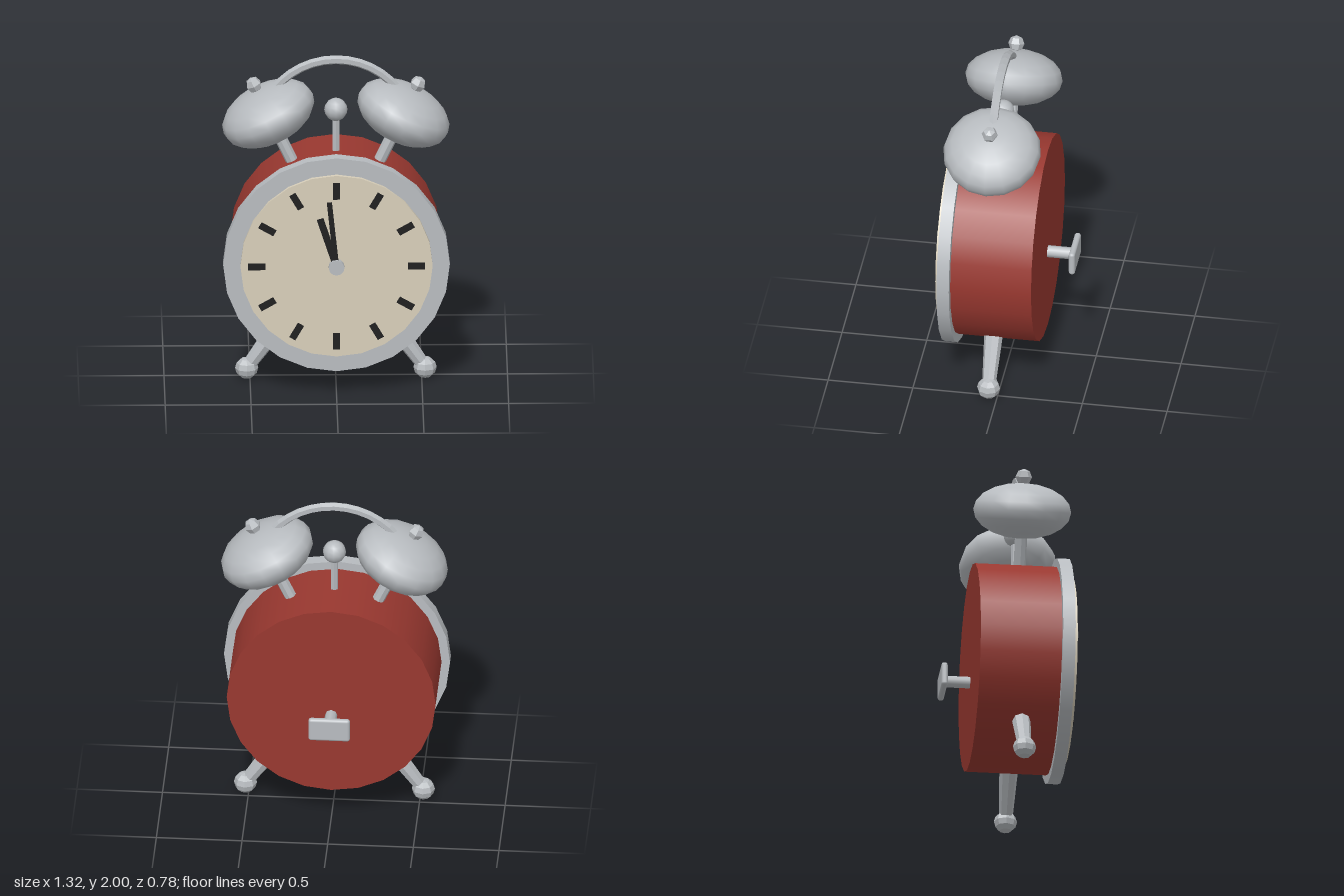
import * as THREE from 'three';
import { RoundedBoxGeometry } from 'three/addons/geometries/RoundedBoxGeometry.js';

const CENTRE_Y = 0.805; // centre of the dial
const MID_Z = 0.05;     // plane of the legs, bells and handle

function material(name, color, flatShading = false) {
  const m = new THREE.MeshStandardMaterial({ color, flatShading });
  m.name = name;
  return m;
}

export function createModel() {
  const red = material('red enamel', 0x993830);
  const metal = material('metal', 0xb8bcc0);
  const cream = material('cream', 0xd8cfba);
  const black = material('black', 0x1e1e1e);

  const clock = new THREE.Group();
  clock.name = 'alarmClock';

  function add(name, geometry, mat, x, y, z, parent = clock) {
    const mesh = new THREE.Mesh(geometry, mat);
    mesh.name = name;
    mesh.position.set(x, y, z);
    parent.add(mesh);
    return mesh;
  }

  // Faceted copy of a geometry, for the low-poly fittings
  function faceted(geometry) {
    const g = geometry.toNonIndexed();
    g.computeVertexNormals();
    return g;
  }

  // Cylinder lying along z between two depths
  function disc(name, radius, z0, z1, sides, mat, y = CENTRE_Y) {
    const g = new THREE.CylinderGeometry(radius, radius, z1 - z0, sides);
    g.rotateX(Math.PI / 2);
    return add(name, g, mat, 0, y, (z0 + z1) / 2);
  }

  // Case and face
  disc('case', 0.61, -0.215, 0.27, 24, red);
  disc('rim', 0.66, 0.262, 0.335, 24, metal);
  disc('dial', 0.56, 0.33, 0.358, 24, cream);
  disc('hub', 0.046, 0.35, 0.392, 12, metal);

  // Hour marks
  for (let i = 0; i < 12; i++) {
    const a = (i / 12) * Math.PI * 2;
    const mark = add('hourMark', new THREE.BoxGeometry(0.04, 0.1, 0.009), black,
      Math.sin(a) * 0.465, CENTRE_Y + Math.cos(a) * 0.465, 0.3615);
    mark.rotation.z = -a;
  }

  // Hands, pivoting at the hub
  function hand(name, width, length, angle, z) {
    const g = new THREE.BoxGeometry(width, length, 0.008);
    g.translate(0, length / 2, 0);
    add(name, g, black, 0, CENTRE_Y, z).rotation.z = angle;
  }
  hand('hourHand', 0.04, 0.31, 0.315, 0.366);
  hand('minuteHand', 0.03, 0.402, 0.105, 0.374);

  // Bells and legs radiate from the dial centre, mirrored left and right
  for (const side of [1, -1]) {
    const bellArm = new THREE.Group();
    bellArm.name = side > 0 ? 'leftBellArm' : 'rightBellArm';
    bellArm.position.set(0, CENTRE_Y, MID_Z);
    bellArm.rotation.z = -side * 0.44;
    clock.add(bellArm);

    add('bellStem', faceted(new THREE.CylinderGeometry(0.036, 0.036, 0.36, 8)), metal, 0, 0.73, 0, bellArm);
    add('bell', new THREE.SphereGeometry(0.287, 16, 10).scale(1, 0.57, 1), metal, 0, 0.924, 0, bellArm);
    const knob = new THREE.SphereGeometry(0.048, 6, 4).rotateY(Math.PI / 6);
    add('bellKnob', faceted(knob), metal, 0, 1.122, 0, bellArm);
    add('knobPost', faceted(new THREE.CylinderGeometry(0.022, 0.022, 0.08, 6)), metal, 0, 1.08, 0, bellArm);

    const legArm = new THREE.Group();
    legArm.name = side > 0 ? 'leftLeg' : 'rightLeg';
    legArm.position.set(0, CENTRE_Y, MID_Z);
    legArm.rotation.z = side * 0.612;
    clock.add(legArm);

    add('leg', faceted(new THREE.CylinderGeometry(0.058, 0.04, 0.36, 8)), metal, 0, -0.71, 0, legArm);
    const foot = add('foot', faceted(new THREE.SphereGeometry(0.068, 8, 6)), metal, 0, -0.904, 0, legArm);
    foot.rotation.z = -side * 0.612;
    foot.scale.y = 0.95;
  }

  // Hammer between the bells
  add('hammerStem', faceted(new THREE.CylinderGeometry(0.023, 0.023, 0.3, 6)), metal, 0, 1.5, MID_Z);
  add('hammerHead', new THREE.SphereGeometry(0.068, 12, 8), metal, 0, 1.665, MID_Z);

  // Arched carrying handle
  const half = 0.94;
  const arch = new THREE.TorusGeometry(0.445, 0.027, 6, 12, half * 2);
  arch.rotateZ(Math.PI / 2 - half);
  add('handle', faceted(arch), metal, 0, 1.528, MID_Z);

  // Winding key on the back
  disc('keyStem', 0.036, -0.37, -0.2, 8, metal, 0.707);
  add('keyGrip', new RoundedBoxGeometry(0.242, 0.145, 0.037, 2, 0.016), metal, 0, 0.707, -0.3735);

  return clock;
}
